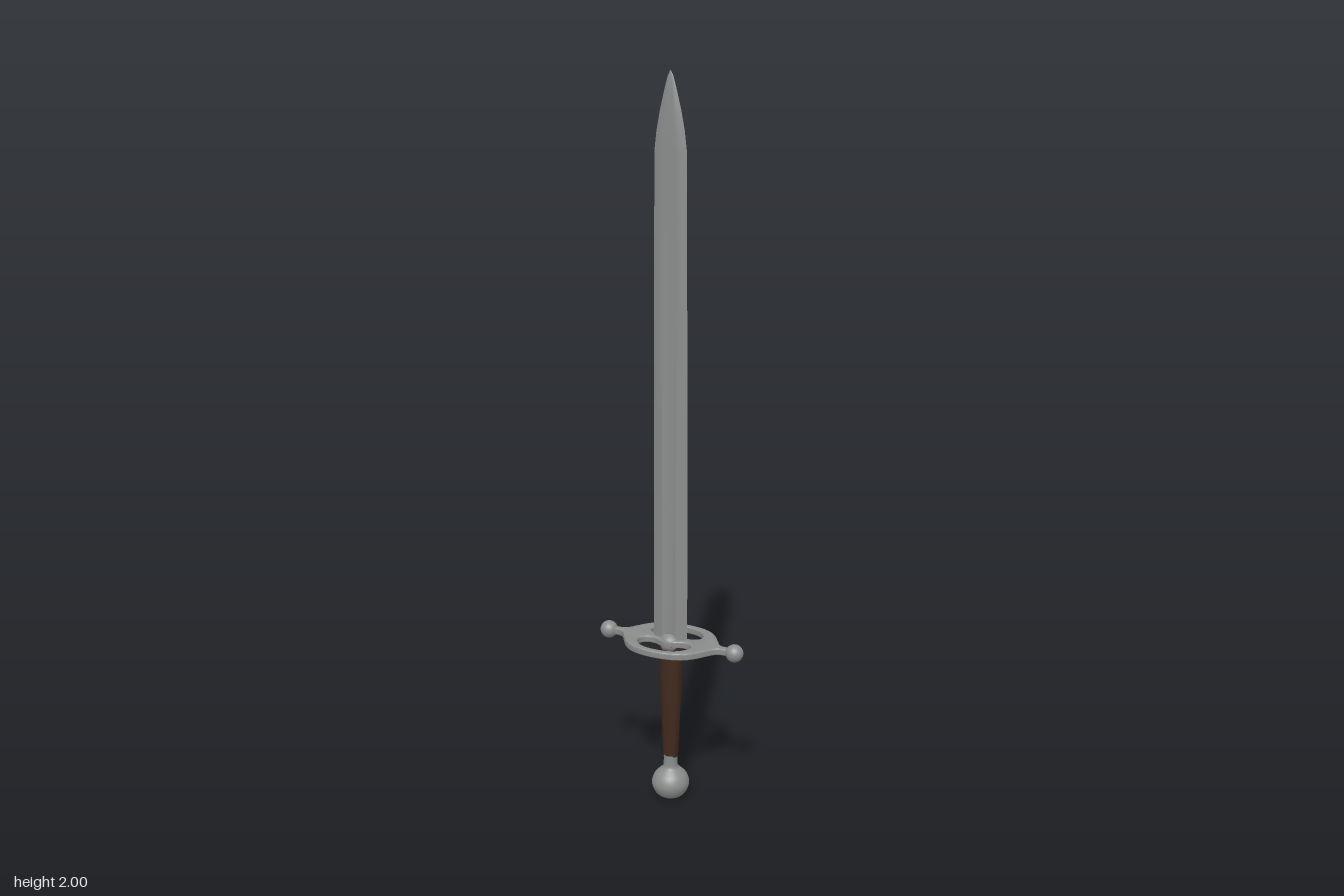
import * as THREE from 'three';
import { toCreasedNormals } from 'three/addons/utils/BufferGeometryUtils.js';

const steel = new THREE.MeshStandardMaterial({ color: 0x8a8c8b });
steel.name = 'steel';
const leather = new THREE.MeshStandardMaterial({ color: 0x40291d });
leather.name = 'brown leather';

// Skin a stack of closed rings; each ring is { y, pts: [[x, z], ...] }
function loft(rings, crease) {
  const n = rings[0].pts.length;
  const pos = [], idx = [];
  for (const r of rings) for (const [x, z] of r.pts) pos.push(x, r.y, z);
  for (let i = 0; i < rings.length - 1; i++) {
    for (let j = 0; j < n; j++) {
      const a = i * n + j, b = i * n + (j + 1) % n;
      idx.push(a, a + n, b, b, a + n, b + n);
    }
  }
  const g = new THREE.BufferGeometry();
  g.setAttribute('position', new THREE.Float32BufferAttribute(pos, 3));
  g.setIndex(idx);
  return toCreasedNormals(g, crease);
}

const v = (list) => list.map(([x, y]) => new THREE.Vector2(x, y));

// Closed smooth outline through the given points
function smoothLoop(points, count) {
  const curve = new THREE.CatmullRomCurve3(points.map(([x, y]) => new THREE.Vector3(x, y, 0)), true);
  return curve.getPoints(count).slice(0, -1).map((p) => new THREE.Vector2(p.x, p.y));
}

export function createModel() {
  const group = new THREE.Group();
  group.name = 'sword';
  const add = (name, geometry, material, x = 0, y = 0) => {
    const mesh = new THREE.Mesh(geometry, material);
    mesh.name = name;
    mesh.position.set(x, y, 0);
    group.add(mesh);
    return mesh;
  };

  // Blade: lens section with a shallow fuller; [height, half width, half thickness, fuller depth]
  const stations = [
    [0.47, 0.051, 0.011, 0.004], [0.9, 0.05, 0.0105, 0.004], [1.4, 0.048, 0.0095, 0.0035],
    [1.8, 0.046, 0.0085, 0.003], [1.85, 0.04, 0.008, 0.002], [1.9, 0.0305, 0.0065, 0.001],
    [1.95, 0.018, 0.0045, 0], [1.985, 0.008, 0.0025, 0], [2, 0, 0, 0],
  ];
  const bladeRings = stations.map(([y, w, t, f]) => {
    const half = [[w, 0], [w * 0.72, t * 0.62], [w * 0.4, t], [w * 0.2, t - f * 0.75],
      [0, t - f], [-w * 0.2, t - f * 0.75], [-w * 0.4, t], [-w * 0.72, t * 0.62]];
    return { y, pts: [...half, ...half.map(([x, z]) => [-x, -z])] };
  });
  add('blade', loft(bladeRings, 0.5), steel);

  // Guard: flat plate with rings either side, seen from above
  const quarter = [[0.172, 0.009], [0.155, 0.011], [0.141, 0.019], [0.127, 0.038],
    [0.108, 0.065], [0.085, 0.087], [0.05, 0.102]];
  const flip = (list, sx, sy) => list.map(([x, y]) => [x * sx, y * sy]);
  const upper = [...quarter, [0, 0.108], ...flip(quarter, -1, 1).reverse()];
  const shape = new THREE.Shape(smoothLoop([...upper, ...flip(upper, -1, -1)], 120));
  const holeSide = [[0.022, 0.025], [0.036, 0.018], [0.053, 0.016], [0.068, 0.021],
    [0.078, 0.036], [0.073, 0.055], [0.056, 0.074], [0.031, 0.085]];
  const hole = [[0, 0.029], ...holeSide, [0, 0.088], ...flip(holeSide, -1, 1).reverse()];
  for (const s of [1, -1]) shape.holes.push(new THREE.Path(smoothLoop(flip(hole, 1, s), 72)));
  const plate = new THREE.ExtrudeGeometry(shape, {
    depth: 0.01, bevelThickness: 0.005, bevelSize: 0.005, bevelOffset: -0.005, bevelSegments: 3,
  });
  plate.translate(0, 0, -0.005).rotateX(Math.PI / 2);
  add('guard', toCreasedNormals(plate, 0.7), steel, 0, 0.474);

  // Guard ends: short round arm and ball
  for (const s of [1, -1]) {
    const side = s > 0 ? 'left' : 'right';
    const arm = new THREE.CylinderGeometry(0.0105, 0.0105, 0.05, 16).rotateZ(Math.PI / 2);
    add(side + 'GuardArm', arm, steel, s * 0.158, 0.474);
    add(side + 'GuardBall', new THREE.SphereGeometry(0.0245, 24, 16), steel, s * 0.193, 0.474);
  }

  // Collar swelling around the base of the blade
  const collar = new THREE.LatheGeometry(v([[0, 0.452], [0.026, 0.454], [0.029, 0.464],
    [0.03, 0.476], [0.027, 0.487], [0.018, 0.495], [0, 0.498]]), 28);
  add('guardCollar', collar, steel);

  // Grip: oval section, fuller near the guard
  const grip = [[0.128, 0, 0], [0.128, 0.022, 0.018], [0.2, 0.025, 0.02], [0.28, 0.029, 0.0225],
    [0.35, 0.0325, 0.0245], [0.42, 0.0325, 0.0245], [0.466, 0.031, 0.024]];
  const gripRings = grip.map(([y, rx, rz]) => ({
    y,
    pts: Array.from({ length: 16 }, (_, i) => {
      const a = i * Math.PI / 8;
      return [Math.cos(a) * rx, Math.sin(a) * rz];
    }),
  }));
  add('grip', loft(gripRings, 0.6), leather);

  // Pommel: squashed ball flowing into a neck
  const profile = new THREE.SplineCurve(v([[0, 0], [0.024, 0.004], [0.043, 0.018], [0.053, 0.044],
    [0.046, 0.069], [0.031, 0.085], [0.022, 0.094], [0.0195, 0.108], [0.0195, 0.132]]));
  const pts = profile.getPoints(32);
  pts.forEach((p) => { p.x = Math.max(p.x, 0); p.y = Math.max(p.y, 0); });
  add('pommel', new THREE.LatheGeometry(pts, 32), steel);

  return group;
}
